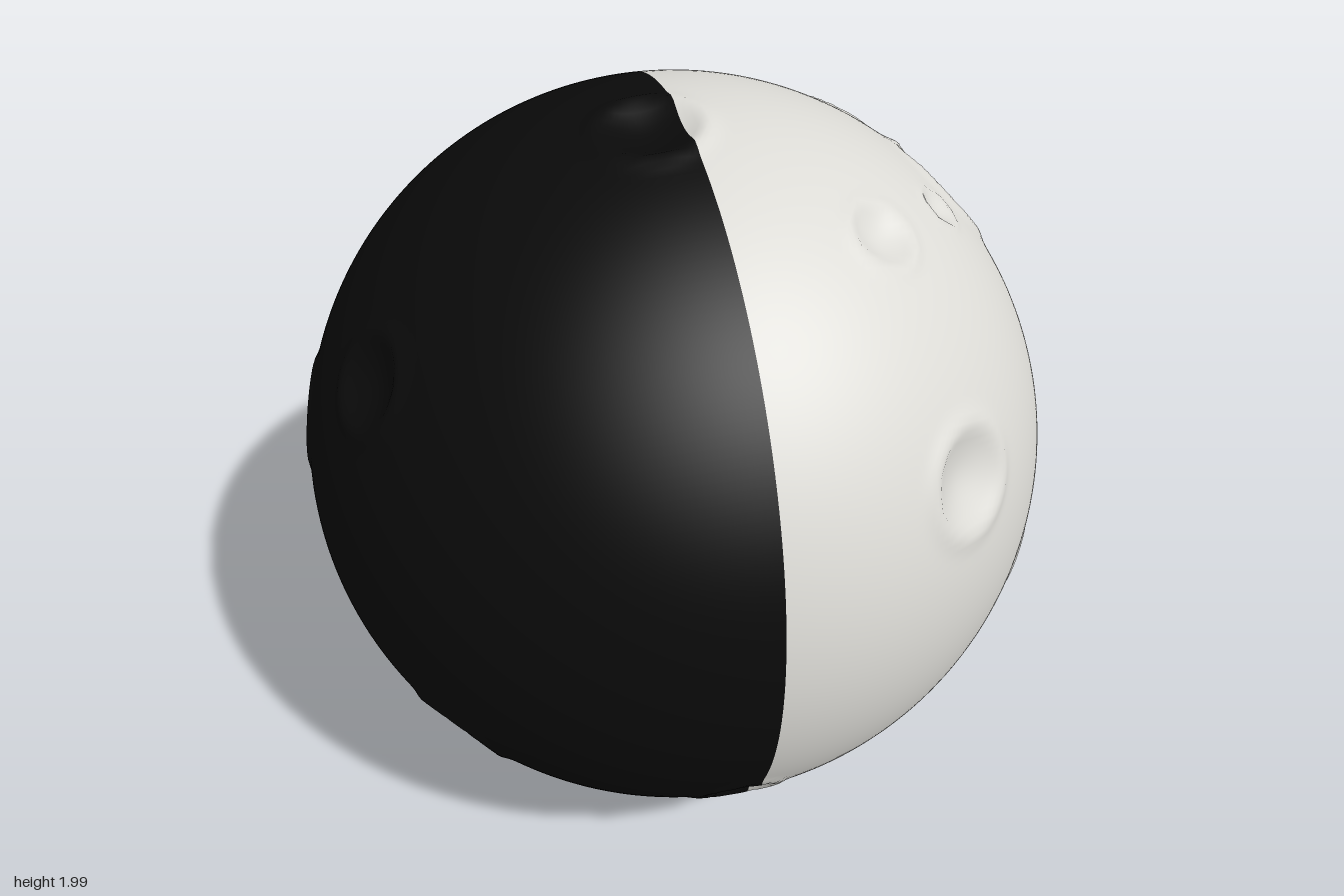
import * as THREE from 'three';
import { mergeVertices } from 'three/addons/utils/BufferGeometryUtils.js';

const RADIUS = 0.99;

// craters: longitude from the front towards +x, latitude (degrees), rim radius
const craters = [
  // front and side of the light half
  [33, 20.5, 0.13], [74, -6, 0.14], [59, -12, 0.1], [90, 3, 0.08], [98, 16, 0.08],
  [55, -33, 0.13], [36, -53, 0.12], [67, -74, 0.15], [-3, -33, 0.1],
  // upper part
  [93, 42, 0.15], [93, 48, 0.08], [120, 51, 0.09], [70, 49, 0.06], [42, 55, 0.09], [-42, 83, 0.13],
  // upper back
  [136, 33, 0.09], [129.5, 16, 0.09], [133, 2, 0.06], [151, 28, 0.09], [159, 38, 0.06], [162, 28, 0.08],
  // irregular cluster and lower chain
  [114, 0, 0.11], [114, -10, 0.08], [121, -2, 0.07],
  [101, -33, 0.08], [115, -34, 0.11], [122.5, -31, 0.07], [136.5, -34, 0.14],
  // along the dividing line at the back and underneath
  [170, -8, 0.13], [167, -26, 0.15], [171, 6, 0.11], [177, -29, 0.08], [176, -57, 0.12], [165, -70, 0.11],
  // dark half
  [-71, 31, 0.12], [-174, 9, 0.1], [-99, 9, 0.13], [-117, -9, 0.1], [-54, -27, 0.12], [-43, -49, 0.12],
].map(([lon, lat, r]) => ({
  dir: new THREE.Vector3().setFromSphericalCoords(
    1, THREE.MathUtils.degToRad(90 - lat), THREE.MathUtils.degToRad(lon)),
  r,
}));

// bowl inside the rim, low raised lip fading out around it
function surfaceHeight(dir) {
  let bowl = 0, lip = 0;
  for (const c of craters) {
    const t = dir.angleTo(c.dir) / c.r;
    if (t < 1) bowl = Math.min(bowl, -0.3 * c.r * (1 - t * t) ** 1.5);
    lip = Math.max(lip, 0.06 * c.r * Math.exp(-(((t - 1.05) / 0.2) ** 2)));
  }
  return bowl + lip;
}

export function createModel() {
  const group = new THREE.Group();
  group.name = 'crateredMoon';
  const around = 260, rows = 220;

  // sphere with its poles on the x axis, so a ring of edges divides the halves
  let ball = new THREE.SphereGeometry(1, around, rows);
  ball.rotateZ(-Math.PI / 2);
  ball.deleteAttribute('uv');
  ball.deleteAttribute('normal');
  ball = mergeVertices(ball, 1e-5);

  const pos = ball.attributes.position;
  const v = new THREE.Vector3();
  for (let i = 0; i < pos.count; i++) {
    v.fromBufferAttribute(pos, i).normalize();
    v.multiplyScalar(RADIUS + surfaceHeight(v));
    pos.setXYZ(i, v.x, v.y + 1, v.z);
  }
  ball.computeVertexNormals();

  const light = new THREE.MeshStandardMaterial({ color: 0xdcdbd6 });
  light.name = 'paleGrey';
  const dark = new THREE.MeshStandardMaterial({ color: 0x0a0a0a });
  dark.name = 'black';

  // both halves share vertices and normals, each with its own faces
  const indices = Array.from(ball.index.array);
  const half = indices.length / 2;
  const addHalf = (name, faces, material) => {
    const geometry = new THREE.BufferGeometry();
    geometry.setAttribute('position', pos);
    geometry.setAttribute('normal', ball.attributes.normal);
    geometry.setIndex(faces);
    const mesh = new THREE.Mesh(geometry, material);
    mesh.name = name;
    group.add(mesh);
  };
  addHalf('lightHalf', indices.slice(0, half), light);
  addHalf('darkHalf', indices.slice(half), dark);
  return group;
}
